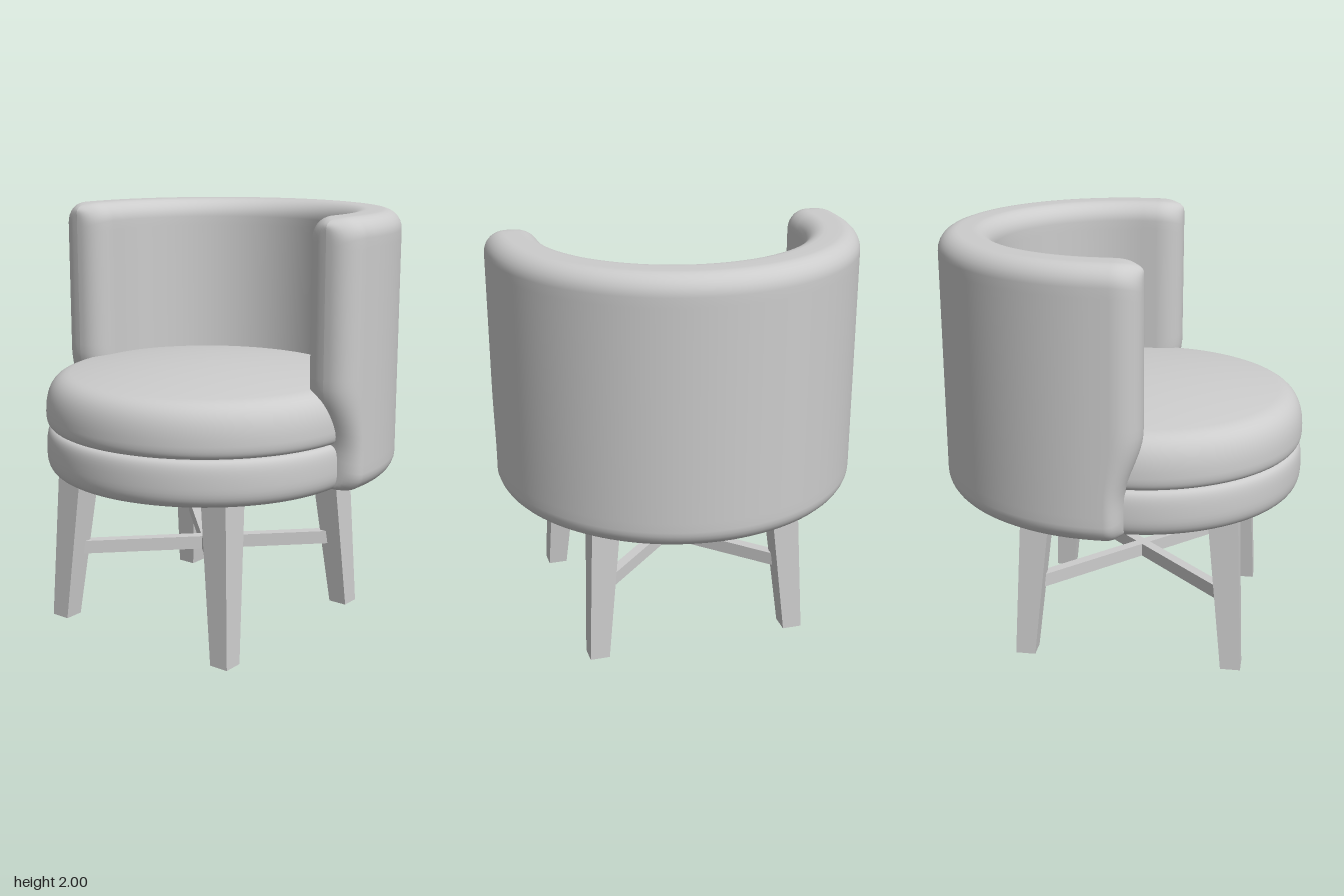
import * as THREE from 'three';

const SEAT_Z = 0.097;
const fabricAndWood = new THREE.MeshStandardMaterial({ color: 0xcccccc });
fabricAndWood.name = 'light grey';

function add(parent, geometry, name) {
  const mesh = new THREE.Mesh(geometry, fabricAndWood);
  mesh.name = name;
  parent.add(mesh);
  return mesh;
}

// Round cushion turned from a smooth half profile
function cushion(draw) {
  const path = new THREE.Path();
  draw(path);
  return new THREE.LatheGeometry(path.getPoints(10), 96);
}

// Rounded upright cross-section: u across the wall, y up, counterclockwise
function section(w, bottom, top) {
  const r = Math.min(0.09, w), ry = 0.09, pts = [], steps = 7, rows = 24;
  const corner = (cu, cy, from) => {
    for (let k = 0; k <= steps; k++) {
      const a = from + (k / steps) * Math.PI / 2;
      pts.push([cu + r * Math.cos(a), cy + ry * Math.sin(a)]);
    }
  };
  const side = (u, y0, y1) => {
    for (let k = 1; k < rows; k++) pts.push([u, y0 + (y1 - y0) * k / rows]);
  };
  corner(w - r, bottom + ry, -Math.PI / 2);
  side(w, bottom + ry, top - ry);
  corner(w - r, top - ry, 0);
  corner(-w + r, top - ry, Math.PI / 2);
  side(-w, top - ry, bottom + ry);
  corner(-w + r, bottom + ry, Math.PI);
  return pts;
}

// Curved backrest: half circle with short straight arms and rounded ends
function backrestGeometry() {
  const R = 0.7425, W = 0.1275, END = 0.2, CAP = 0.13;
  const stations = [];
  const ends = [];
  for (let k = 0; k <= 10; k++) {
    const f = (k / 10) * Math.PI / 2;
    ends.push({ z: END - CAP * (1 - Math.cos(f)), s: Math.pow(Math.sin(f), 0.85) });
  }
  for (const e of ends) stations.push({ a: 0, ...e });
  for (let k = 0; k <= 64; k++) stations.push({ a: Math.PI * k / 64, z: 0, s: 1 });
  for (const e of [...ends].reverse()) stations.push({ a: Math.PI, ...e });

  const pos = [], index = [];
  let n = 0;
  for (const { a, z, s } of stations) {
    const ring = section(W * s, 0.75 + 0.03 * (1 - s), 2 - 0.05 * (1 - s));
    n = ring.length;
    for (const [u, y] of ring) {
      // the arm ends draw back beside the cushions
      const tuck = 1 - 0.4 * (1 - THREE.MathUtils.smoothstep(y, 0.93, 1.25));
      pos.push((R + u) * Math.cos(a), y, -(R + u) * Math.sin(a) + z * tuck);
    }
  }
  for (let i = 0; i < stations.length - 1; i++) {
    for (let j = 0; j < n; j++) {
      const k = (j + 1) % n, p = i * n, q = p + n;
      index.push(p + j, q + j, p + k, p + k, q + j, q + k);
    }
  }
  const g = new THREE.BufferGeometry();
  g.setAttribute('position', new THREE.Float32BufferAttribute(pos, 3));
  g.setIndex(index);
  g.computeVertexNormals();
  return g;
}

// Splayed square leg, thicker at the top
function legGeometry(sx, sz) {
  const g = new THREE.BoxGeometry(1, 1, 1);
  const p = g.attributes.position;
  for (let i = 0; i < p.count; i++) {
    const up = p.getY(i) > 0;
    const centre = up ? 0.44 : 0.497, width = up ? 0.14 : 0.095;
    p.setXYZ(i, sx * centre + p.getX(i) * width, up ? 0.76 : 0, sz * centre + p.getZ(i) * width);
  }
  g.computeVertexNormals();
  return g;
}

export function createModel() {
  const chair = new THREE.Group();
  chair.name = 'tubChair';

  add(chair, backrestGeometry(), 'backrest');

  const seat = new THREE.Group();
  seat.name = 'seat';
  seat.position.z = SEAT_Z;
  chair.add(seat);

  add(seat, cushion((p) => {
    p.moveTo(0, 0.75);
    p.lineTo(0.69, 0.75);
    p.bezierCurveTo(0.745, 0.75, 0.775, 0.775, 0.775, 0.85);
    p.bezierCurveTo(0.775, 0.93, 0.77, 0.972, 0.735, 0.974);
    p.lineTo(0, 0.974);
  }), 'seatBase');

  add(seat, cushion((p) => {
    p.moveTo(0, 0.976);
    p.lineTo(0.735, 0.976);
    p.bezierCurveTo(0.765, 0.978, 0.775, 1.0, 0.775, 1.04);
    p.bezierCurveTo(0.775, 1.14, 0.745, 1.215, 0.655, 1.226);
    p.bezierCurveTo(0.45, 1.258, 0.22, 1.276, 0, 1.276);
  }), 'seatCushion');

  // Legs and the diagonal stretchers joining them
  const base = new THREE.Group();
  base.name = 'base';
  base.position.z = SEAT_Z;
  chair.add(base);
  for (const sx of [-1, 1]) {
    for (const sz of [-1, 1]) {
      add(base, legGeometry(sx, sz), (sz > 0 ? 'front' : 'back') + (sx > 0 ? 'Left' : 'Right') + 'Leg');
    }
    const bar = add(base, new THREE.BoxGeometry(1.24, 0.065, 0.05), 'stretcher');
    bar.position.y = 0.352;
    bar.rotation.y = sx * Math.PI / 4;
  }
  return chair;
}
